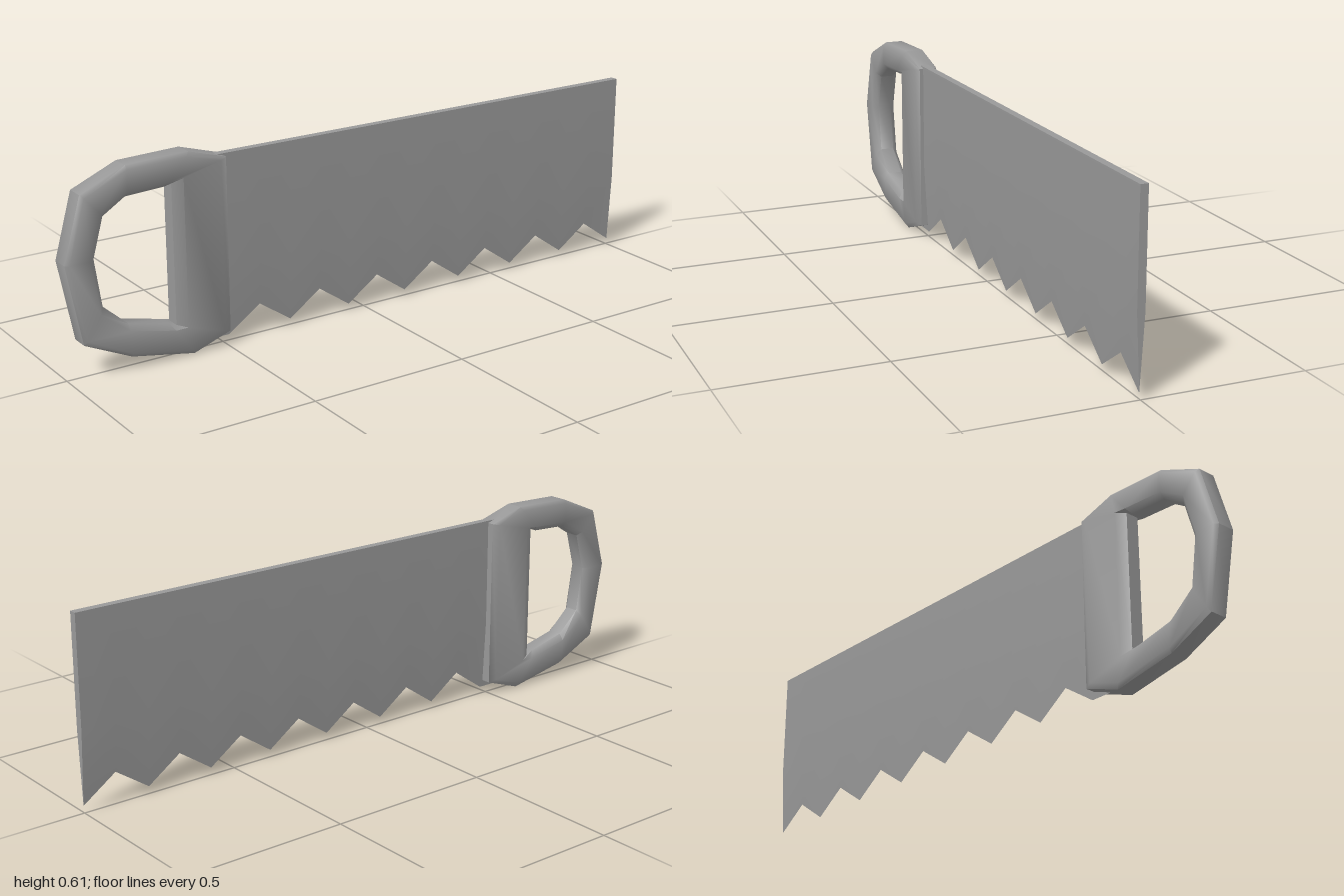
import * as THREE from 'three';
import { toCreasedNormals } from 'three/addons/utils/BufferGeometryUtils.js';

const material = new THREE.MeshStandardMaterial({ color: 0x999999 });

// Skin a row of cross-sections; either join the ends or cap them.
function loft(sections, closed) {
  const n = sections[0].length, count = sections.length, index = [];
  for (let i = 0; i < (closed ? count : count - 1); i++) {
    const k = (i + 1) % count;
    for (let j = 0; j < n; j++) {
      const m = (j + 1) % n;
      index.push(i * n + j, i * n + m, k * n + j, i * n + m, k * n + m, k * n + j);
    }
  }
  if (!closed) {
    const end = (count - 1) * n;
    for (let j = 1; j < n - 1; j++) index.push(0, j + 1, j, end, end + j, end + j + 1);
  }
  const geometry = new THREE.BufferGeometry();
  geometry.setAttribute('position', new THREE.Float32BufferAttribute(sections.flat(2), 3));
  geometry.setIndex(index);
  return toCreasedNormals(geometry, 0.87);
}

function addPart(group, name, geometry) {
  const mesh = new THREE.Mesh(geometry, material);
  mesh.name = name;
  group.add(mesh);
}

export function createModel() {
  const group = new THREE.Group();
  group.name = 'handSaw';

  // Handle: a bevelled closed loop, each row is outer x, y and hole x, y
  const outline = [
    [-1.0, 0.35, -0.91, 0.35],
    [-0.945, 0.543, -0.877, 0.468],
    [-0.805, 0.603, -0.807, 0.512],
    [-0.61, 0.609, -0.685, 0.518],
    [-0.489, 0.573, -0.663, 0.53],
    [-0.489, 0.042, -0.663, 0.098],
    [-0.61, 0, -0.685, 0.107],
    [-0.81, 0.038, -0.815, 0.138],
    [-0.955, 0.106, -0.89, 0.205],
  ];
  // Outer rim stays crisp, the hole is rounded more softly
  const rim = 0.028, face = 0.038, holeRim = 0.022, bevel = 0.13, holeBevel = 0.18;
  const profile = [
    [0, rim], [bevel, face], [1 - holeBevel, face], [1, holeRim],
    [1, -holeRim], [1 - holeBevel, -face], [bevel, -face], [0, -rim],
  ];
  addPart(group, 'handle', loft(outline.map(([ox, oy, hx, hy]) =>
    profile.map(([t, z]) => [ox + (hx - ox) * t, oy + (hy - oy) * t, z])), true));

  // Blade: flat plate thinning to a sharp toothed edge
  const top = 0.58, taper = 0.24, tip = 0.02, valley = 0.093;
  const half = 0.012, zc = 0.004, teeth = 7, start = -0.48;
  const edge = [[-0.56, tip]];
  for (let i = 0; i <= teeth * 2; i++) {
    edge.push([start + (1 - start) * i / (teeth * 2), i % 2 ? valley : tip]);
  }
  addPart(group, 'blade', loft(edge.map(([x, y]) => [
    [x, top, zc + half], [x, taper, zc + half], [x, y, zc],
    [x, taper, zc - half], [x, top, zc - half],
  ]), false));

  return group;
}
